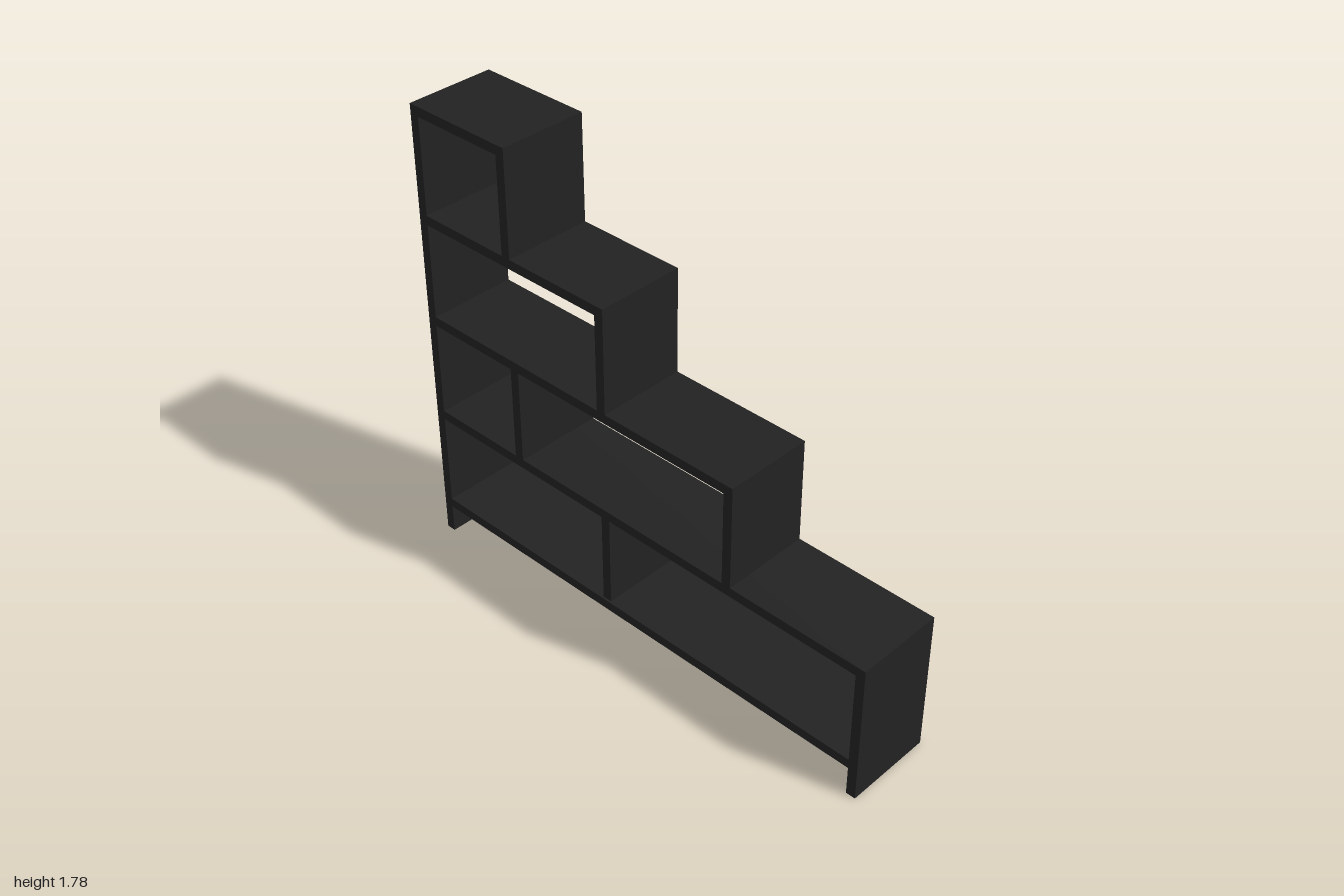
import * as THREE from 'three';

const T = 0.037;               // board thickness
const X0 = -0.176, X1 = 0.168; // side edges of the boards
const BACK = -1;

export function createModel() {
  const group = new THREE.Group();
  const material = new THREE.MeshStandardMaterial({ color: 0x222222 });

  // A board spanning y0..y1 and z0..z1, optionally shifted sideways
  function board(name, y0, y1, z0, z1, shift = 0) {
    const mesh = new THREE.Mesh(new THREE.BoxGeometry(X1 - X0, y1 - y0, z1 - z0), material);
    mesh.position.set((X0 + X1) / 2 + shift, (y0 + y1) / 2, (z0 + z1) / 2);
    mesh.name = name;
    group.add(mesh);
  }

  // Shelves: underside height and front edge; all run to the back panel
  const shelfY = [0.115, 0.524, 0.931, 1.339, 1.746];
  const shelfFront = [1 - T, 1, 0.441, -0.12, -0.55];
  shelfY.forEach((y, i) => board('shelf' + (i + 1), y, y + T, BACK + T, shelfFront[i]));

  // Tall back panel, reaching the floor
  board('backPanel', 0, shelfY[4] + T, BACK, BACK + T);

  // Front panel of each step; the lowest one also forms the front leg
  for (let i = 1; i < 5; i++) {
    const bottom = i === 1 ? 0 : shelfY[i - 1] + T;
    board('stepPanel' + i, bottom, shelfY[i], shelfFront[i] - T, shelfFront[i]);
  }

  // Inner dividers; the lower one stands slightly proud on the left side
  board('lowerDivider', shelfY[0] + T, shelfY[1], -0.157, -0.12, 0.008);
  board('upperDivider', shelfY[1] + T, shelfY[2], -0.577, -0.54);

  return group;
}
